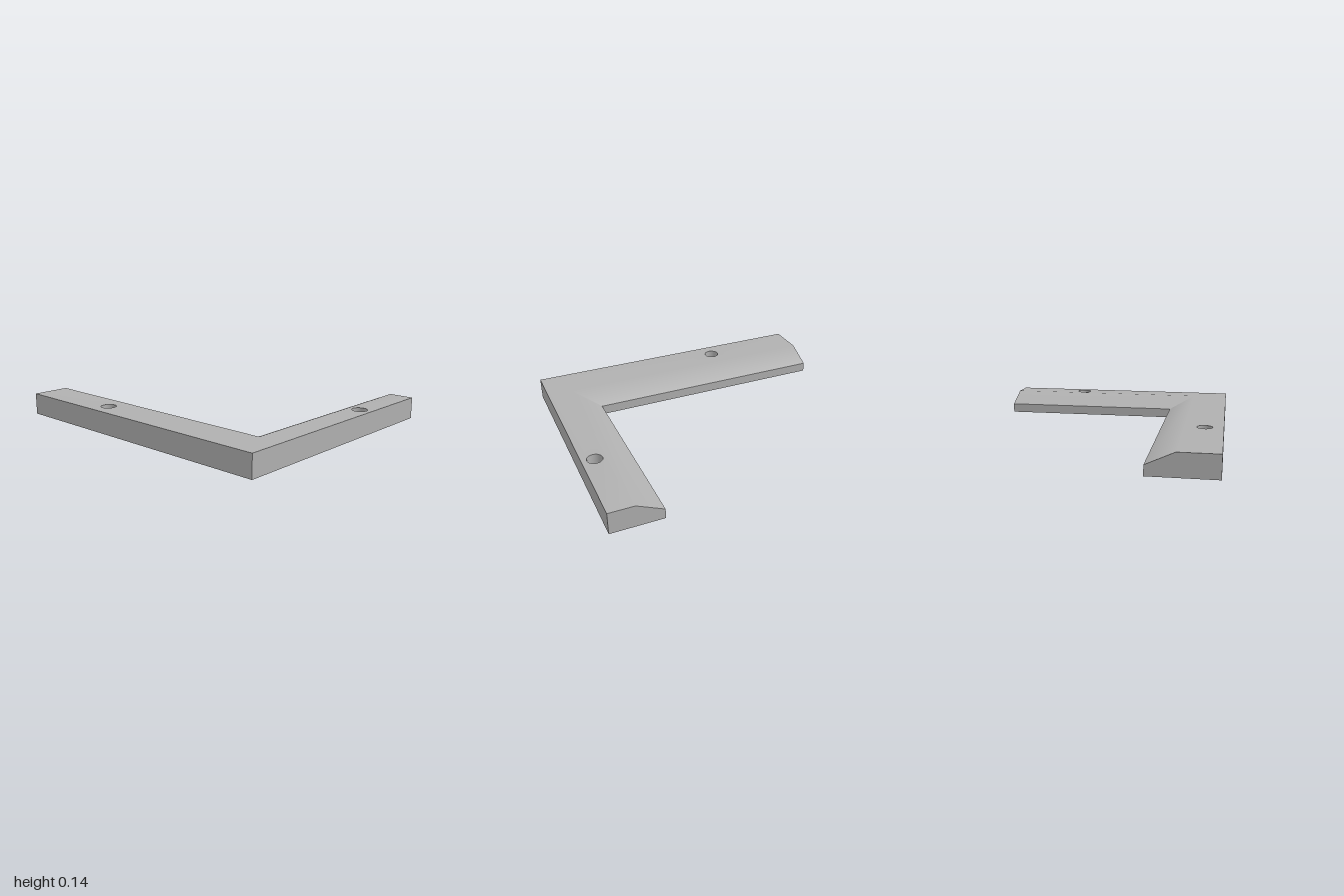
import * as THREE from 'three';
import { mergeGeometries, toCreasedNormals } from 'three/addons/utils/BufferGeometryUtils.js';

const TOP = 0.145, LIP = 0.065;            // outer and inner edge heights
const X = { inner: 0.66, ridge: 0.835, outer: 1 };
const Z = { inner: 0.42, ridge: 0.595, outer: 0.845 };
const BOLT_R = 0.03, BORE_R = 0.05, SEAT_Y = 0.07;
const BOLTS = [[0.915, -0.31], [-0.33, 0.725]];
const PIN = { x: 0.75, z: 0.51, r: 0.027, depth: 0.06 };

// Convex polygon, corners counter-clockwise from outside
function face(points) {
  const pos = [];
  for (let i = 1; i < points.length - 1; i++) pos.push(...points[0], ...points[i], ...points[i + 1]);
  const g = new THREE.BufferGeometry();
  g.setAttribute('position', new THREE.Float32BufferAttribute(pos, 3));
  return g;
}

// Horizontal L-shaped face with round holes; dir is 1 facing up, -1 facing down
function plate(xi, zi, y, holes, dir) {
  const outline = [[-1, Z.outer], [1, Z.outer], [1, -Z.outer], [xi, -Z.outer], [xi, zi], [-1, zi]];
  const shape = new THREE.Shape(outline.map(([x, z]) => new THREE.Vector2(x, -dir * z)));
  for (const [x, z, r] of holes) shape.holes.push(new THREE.Path().absarc(x, -dir * z, r, 0, Math.PI * 2));
  return new THREE.ShapeGeometry(shape, 24).rotateX(-dir * Math.PI / 2).translate(0, y, 0);
}

// Inward-facing hole wall
function bore(x, z, r, y0, y1) {
  return new THREE.CylinderGeometry(r, r, y1 - y0, 24, 1, true).scale(-1, 1, 1).translate(x, (y0 + y1) / 2, z);
}

function mergeParts(parts) {
  const plain = parts.map((p) => {
    const g = p.index ? p.toNonIndexed() : p;
    g.deleteAttribute('uv');
    g.deleteAttribute('normal');
    return g;
  });
  const merged = mergeGeometries(plain);
  merged.computeVertexNormals();
  return toCreasedNormals(merged, Math.PI / 6);
}

export function createModel() {
  const group = new THREE.Group();
  group.name = 'cornerBracket';
  const grey = new THREE.MeshStandardMaterial({ color: 0xb0b0b0 });
  grey.name = 'grey';
  const add = (name, parts) => {
    const mesh = new THREE.Mesh(mergeParts(parts), grey);
    mesh.name = name;
    group.add(mesh);
  };

  // L-shaped body with a mitred bevel along the inside
  add('bracketBody', [
    plate(X.ridge, Z.ridge, TOP, BOLTS.map((b) => [...b, BORE_R]), 1),
    plate(X.inner, Z.inner, 0, [...BOLTS.map((b) => [...b, BOLT_R]), [PIN.x, PIN.z, PIN.r]], -1),
    // bevels
    face([[-1, LIP, Z.inner], [-1, TOP, Z.ridge], [X.ridge, TOP, Z.ridge], [X.inner, LIP, Z.inner]]),
    face([[X.inner, LIP, Z.inner], [X.ridge, TOP, Z.ridge], [X.ridge, TOP, -Z.outer], [X.inner, LIP, -Z.outer]]),
    // outer walls
    face([[-1, 0, Z.outer], [1, 0, Z.outer], [1, TOP, Z.outer], [-1, TOP, Z.outer]]),
    face([[1, 0, Z.outer], [1, 0, -Z.outer], [1, TOP, -Z.outer], [1, TOP, Z.outer]]),
    // inner walls
    face([[X.inner, 0, Z.inner], [-1, 0, Z.inner], [-1, LIP, Z.inner], [X.inner, LIP, Z.inner]]),
    face([[X.inner, 0, -Z.outer], [X.inner, 0, Z.inner], [X.inner, LIP, Z.inner], [X.inner, LIP, -Z.outer]]),
    // arm ends
    face([[1, 0], [X.inner, 0], [X.inner, LIP], [X.ridge, TOP], [1, TOP]].map(([x, y]) => [x, y, -Z.outer])),
    face([[Z.inner, 0], [Z.outer, 0], [Z.outer, TOP], [Z.ridge, TOP], [Z.inner, LIP]].map(([z, y]) => [-1, y, z])),
  ]);

  // Counterbored through holes
  BOLTS.forEach(([x, z], i) => add(i ? 'frontBoltHole' : 'sideBoltHole', [
    bore(x, z, BORE_R, SEAT_Y, TOP),
    bore(x, z, BOLT_R, 0, SEAT_Y),
    new THREE.RingGeometry(BOLT_R, BORE_R, 24).rotateX(-Math.PI / 2).translate(x, SEAT_Y, z),
  ]));

  // Blind hole under the corner
  add('cornerPinHole', [
    bore(PIN.x, PIN.z, PIN.r, 0, PIN.depth),
    new THREE.CircleGeometry(PIN.r, 24).rotateX(Math.PI / 2).translate(PIN.x, PIN.depth, PIN.z),
  ]);
  return group;
}
